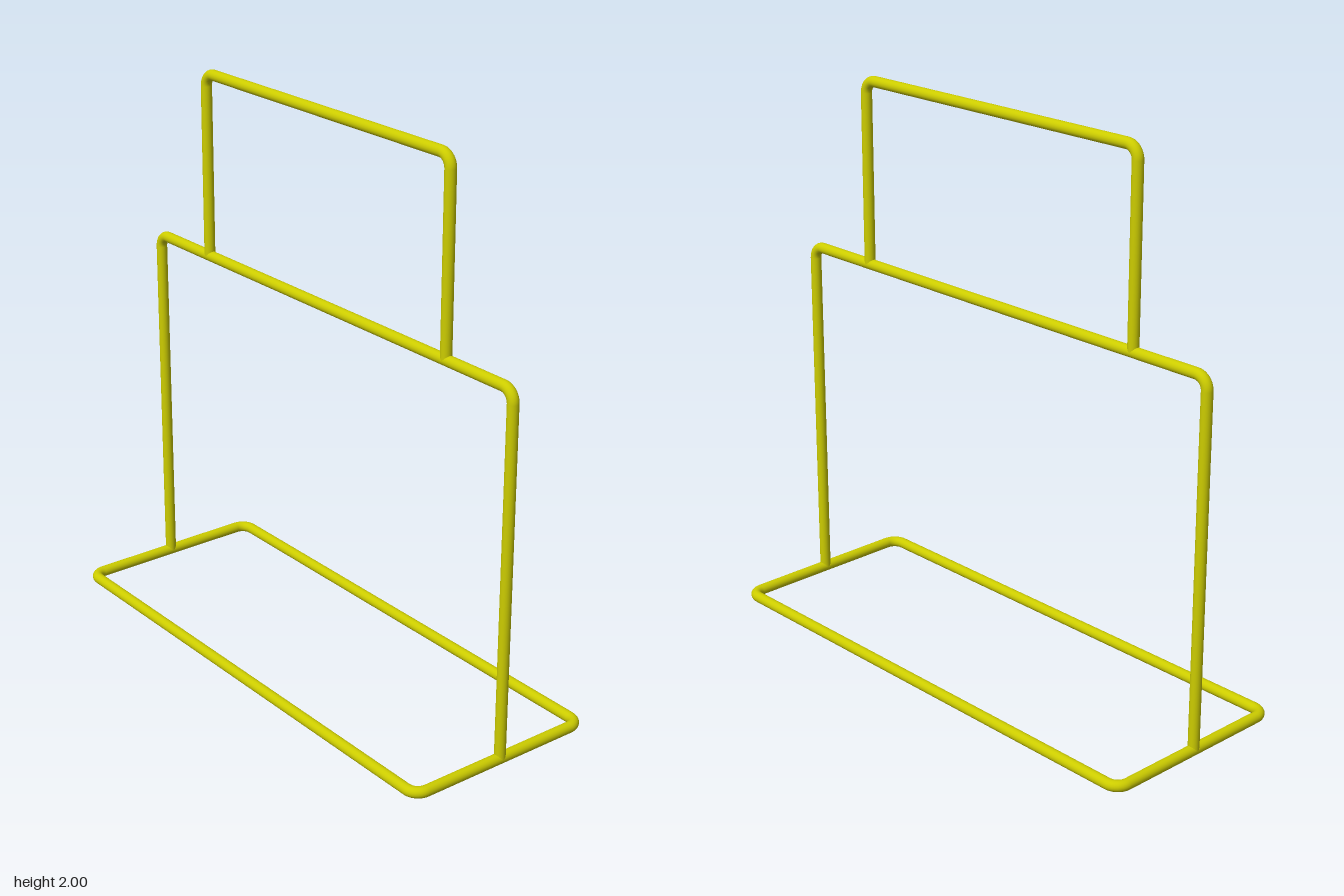
import * as THREE from 'three';
import { mergeGeometries } from 'three/addons/utils/BufferGeometryUtils.js';

const R = 0.0195;    // tube radius
const BEND = 0.045;  // centre-line radius of the corners
const SIDES = 20;

// Round tube along a polyline, with each corner turned into a quarter bend
function bentTube(corners, closed) {
  const pts = corners.map((c) => new THREE.Vector3(...c));
  const n = pts.length;
  const toward = (a, b, d) => a.clone().add(b.clone().sub(a).setLength(d));
  const isBend = (i) => closed || (i > 0 && i < n - 1);
  const parts = [];
  for (let i = 0; i < n; i++) {
    const p = pts[i], next = pts[(i + 1) % n], prev = pts[(i + n - 1) % n];
    if (isBend(i)) {
      const k = BEND * (1 - 0.5523);
      const arc = new THREE.CubicBezierCurve3(
        toward(p, prev, BEND), toward(p, prev, k), toward(p, next, k), toward(p, next, BEND));
      parts.push(new THREE.TubeGeometry(arc, 10, R, SIDES));
    }
    if (closed || i < n - 1) {
      const a = isBend(i) ? toward(p, next, BEND) : p;
      const b = isBend((i + 1) % n) ? toward(next, p, BEND) : next;
      parts.push(new THREE.TubeGeometry(new THREE.LineCurve3(a, b), 1, R, SIDES));
    }
  }
  return mergeGeometries(parts);
}

export function createModel() {
  const group = new THREE.Group();
  const material = new THREE.MeshStandardMaterial({ color: 0xcccc00 });
  const add = (name, corners, closed = false) => {
    const mesh = new THREE.Mesh(bentTube(corners, closed), material);
    mesh.name = name;
    group.add(mesh);
  };

  const W = 0.957, D = 0.357, H = 1.315; // centre-line half width, half depth, frame height
  const upright = (x, y0, y1) => [[-x, y0, 0], [-x, y1, 0], [x, y1, 0], [x, y0, 0]];

  // Rounded rectangular loop on the floor
  add('baseLoop', [[-W, R, -D], [-W, R, D], [W, R, D], [W, R, -D]], true);
  // Large arch standing on the middle of the base ends
  add('mainFrame', upright(W, R, H));
  // Narrower arch standing on the main frame
  add('upperFrame', upright(0.645, H, 2 - R));

  return group;
}
